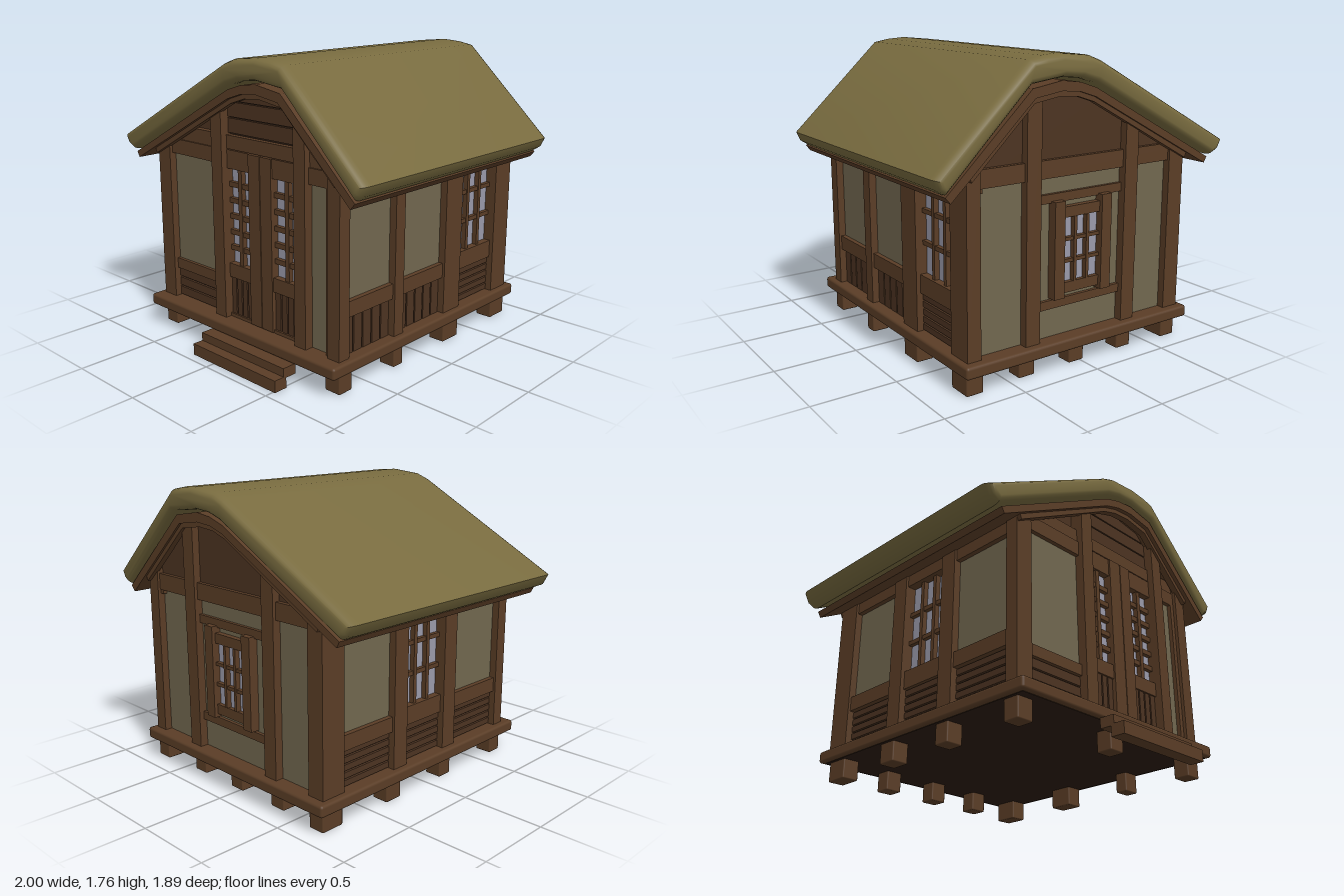
import * as THREE from 'three';
import { RoundedBoxGeometry } from 'three/addons/geometries/RoundedBoxGeometry.js';
import { toCreasedNormals } from 'three/addons/utils/BufferGeometryUtils.js';

const paint = (color) => new THREE.MeshStandardMaterial({ color });
const wood = paint(0x5a3d26), board = paint(0x4c3321), dark = paint(0x2c1d12);
const plaster = paint(0x71674f), glass = paint(0x9a9aaa), thatch = paint(0x786b3f);

// Underside of the roof boarding, from the long eave to the short eave
const under = [[-0.87, 1.065], [-0.01, 1.52], [0.1, 1.555], [0.22, 1.565], [0.39, 1.54], [0.9, 1.065]];

function roofY(x) {
  let i = 1;
  while (i < under.length - 1 && x > under[i][0]) i++;
  const [a, b] = [under[i - 1], under[i]];
  return a[1] + (b[1] - a[1]) * (x - a[0]) / (b[0] - a[0]);
}

function mesh(parent, name, geo, mat) {
  const m = new THREE.Mesh(geo, mat);
  m.name = name;
  parent.add(m);
  return m;
}

// Box given by its limits
function box(parent, name, mat, x0, x1, y0, y1, z0, z1, round = 0) {
  const s = [Math.abs(x1 - x0), Math.abs(y1 - y0), Math.abs(z1 - z0)];
  const geo = round ? new RoundedBoxGeometry(...s, 2, round) : new THREE.BoxGeometry(...s);
  mesh(parent, name, geo, mat).position.set((x0 + x1) / 2, (y0 + y1) / 2, (z0 + z1) / 2);
}

// Outline in x and y, extruded between two z values
function slab(parent, name, mat, points, z0, z1) {
  const shape = new THREE.Shape(points.map((p) => new THREE.Vector2(...p)));
  const geo = new THREE.ExtrudeGeometry(shape, { depth: z1 - z0, bevelEnabled: false });
  geo.translate(0, 0, z0);
  mesh(parent, name, geo, mat);
}

// Upright piece of a gable end whose top follows the roof
function gablePiece(parent, name, mat, x0, x1, y0, y1, z0, z1) {
  const pts = [[x1, y0]];
  for (let i = 12; i >= 0; i--) {
    const x = x0 + (x1 - x0) * i / 12;
    pts.push([x, Math.max(y0 + 0.001, Math.min(y1, roofY(x) + 0.02))]);
  }
  pts.push([x0, y0]);
  slab(parent, name, mat, pts, z0, z1);
}

// Returns a function placing pieces on one wall; recess is the depth behind the wall's face
function wallPlacer(parent, axis, face) {
  const s = Math.sign(face);
  return (name, mat, u0, u1, y0, y1, recess = 0) => {
    const w0 = face - s * recess, w1 = face - s * 0.11;
    if (axis === 'x') box(parent, name, mat, w0, w1, y0, y1, u0, u1);
    else box(parent, name, mat, u0, u1, y0, y1, w0, w1);
  };
}

// Row of boards with dark gaps
function slats(put, u0, u1, y0, y1, n, upright) {
  put('slatBacking', dark, u0, u1, y0, y1, 0.055);
  for (let i = 0; i < n; i++) {
    const a = i / n, b = (i + 1) / n, g = 0.005;
    if (upright) put('slat', board, u0 + (u1 - u0) * a + g, u0 + (u1 - u0) * b - g, y0, y1, 0.04);
    else put('slat', board, u0, u1, y0 + (y1 - y0) * a + g, y0 + (y1 - y0) * b - g, 0.04);
  }
}

// Glass with glazing bars
function glazing(put, u0, u1, y0, y1, cols, rows, bar = 0.026) {
  put('glass', glass, u0, u1, y0, y1, 0.07);
  for (let i = 1; i < cols; i++) {
    const u = u0 + (u1 - u0) * i / cols;
    put('uprightBar', wood, u - bar / 2, u + bar / 2, y0, y1, 0.04);
  }
  for (let i = 1; i < rows; i++) {
    const y = y0 + (y1 - y0) * i / rows;
    put('crossBar', wood, u0, u1, y - bar / 2, y + bar / 2, 0.045);
  }
}

export function createModel() {
  const model = new THREE.Group();
  const group = (name) => {
    const g = new THREE.Group();
    g.name = name;
    model.add(g);
    return g;
  };

  // Base: floor, feet and steps
  const base = group('base');
  box(base, 'floorEdge', wood, -0.77, 0.82, 0.12, 0.19, -0.93, 0.81, 0.016);
  box(base, 'floorUnderside', dark, -0.74, 0.79, 0.117, 0.15, -0.9, 0.78);
  const feet = [[-0.67, 0.68, 0.1], [0.03, 0.68, 0.1], [0.735, 0.68, 0.1], [0.735, 0.23, 0.08], [0.735, -0.28, 0.15],
    [-0.67, 0.16, 0.1], [-0.67, -0.31, 0.12]];
  for (const x of [-0.67, -0.33, 0.03, 0.38, 0.735]) feet.push([x, -0.8, Math.abs(x) > 0.5 ? 0.15 : 0.1]);
  for (const [x, z, d] of feet) box(base, 'foot', wood, x - 0.053, x + 0.053, 0, 0.125, z - d / 2, z + d / 2, 0.008);
  box(base, 'upperStep', wood, -0.18, 0.515, 0.06, 0.12, 0.79, 0.88);
  box(base, 'lowerStep', wood, -0.18, 0.515, 0, 0.07, 0.86, 0.945);

  // Corner posts
  for (const [x0, x1] of [[-0.73, -0.62], [0.7, 0.785]]) {
    gablePiece(base, 'cornerPost', wood, x0, x1, 0.19, 2, 0.65, 0.73);
    gablePiece(base, 'cornerPost', wood, x0, x1, 0.19, 2, -0.88, -0.72);
  }

  // Front wall with double door
  const front = group('frontWall');
  let put = wallPlacer(front, 'z', 0.73);
  put('plaster', plaster, -0.62, -0.21, 0.44, 1.12, 0.045);
  put('sill', wood, -0.62, -0.21, 0.375, 0.44, 0.025);
  slats(put, -0.62, -0.21, 0.19, 0.375, 3, false);
  put('plaster', plaster, 0.545, 0.7, 0.19, 1.12, 0.045);
  put('thinPost', wood, 0.67, 0.7, 0.19, 1.12, 0.02);
  for (const [x0, x1] of [[-0.21, -0.12], [0.46, 0.545]]) gablePiece(front, 'doorPost', wood, x0, x1, 0.19, 2, 0.63, 0.74);
  for (const [x0, x1] of [[-0.64, -0.2], [0.53, 0.72]]) {
    gablePiece(front, 'beam', wood, x0, x1, 1.12, 1.21, 0.63, 0.71);
    gablePiece(front, 'upperBeam', wood, x0, x1, 1.21, 1.295, 0.63, 0.7);
  }
  for (const [u0, u1, c0, c1] of [[-0.12, 0.07, 0.07, 0.163], [0.255, 0.46, 0.168, 0.255]]) {
    put('doorStile', wood, c0, c1, 0.195, 1.21, 0.02);
    put('doorTopRail', wood, u0, u1, 1.1, 1.21, 0.03);
    put('doorMiddleRail', wood, u0, u1, 0.44, 0.525, 0.03);
    glazing(put, u0, u1, 0.525, 1.1, 2, 6, 0.03);
    slats(put, u0, u1, 0.21, 0.44, 4, true);
    put('doorBottomRail', wood, u0, u1, 0.19, 0.21, 0.03);
  }
  put('doorGap', dark, 0.16, 0.17, 0.19, 1.21, 0.03);

  // Back wall with small framed window
  const back = group('backWall');
  put = wallPlacer(back, 'z', -0.88);
  put('plaster', plaster, -0.64, 0.72, 0.19, 1.12, 0.045);
  for (const [x0, x1] of [[-0.365, -0.27], [0.32, 0.415]]) gablePiece(back, 'backPost', wood, x0, x1, 0.19, 2, -0.885, -0.78);
  gablePiece(back, 'beam', wood, -0.7, 0.76, 1.1, 1.2, -0.865, -0.78);
  put('windowBeam', wood, -0.27, 0.32, 0.96, 1.01, 0.025);
  put('lowerBeam', wood, -0.27, 0.32, 0.36, 0.41, 0.025);
  for (const x of [-0.17, 0.16]) put('windowPost', wood, x, x + 0.07, 0.42, 0.97, -0.012);
  put('windowRail', wood, -0.1, 0.16, 0.87, 0.93, 0.01);
  put('windowRail', wood, -0.1, 0.16, 0.44, 0.5, 0.01);
  glazing((n, m, a, b, c, d, r) => put(n, m, a, b, c, d, r - 0.035), -0.1, 0.16, 0.5, 0.87, 3, 3, 0.02);

  // Side walls: bays of [z0, z1, kind] and posts between them
  const sides = [
    { name: 'leftWall', face: 0.785, top: 1.19, posts: [[0.19, 0.27], [-0.36, -0.2]],
      bays: [[0.27, 0.65, 'upright'], [-0.2, 0.19, 'upright'], [-0.72, -0.36, 'window']] },
    { name: 'rightWall', face: -0.73, top: 1.15, posts: [[0.12, 0.23], [-0.32, -0.21]],
      bays: [[0.23, 0.65, 'level'], [-0.21, 0.12, 'window'], [-0.72, -0.32, 'level']] },
  ];
  for (const { name, face, top, posts, bays } of sides) {
    const side = group(name);
    const place = wallPlacer(side, 'x', face);
    for (const [z0, z1] of posts) place('sidePost', wood, z0, z1, 0.19, top, 0);
    place('topPlate', wood, -0.86, 0.7, 1.075, top, 0.015);
    for (const [z0, z1, kind] of bays) {
      if (kind === 'window') {
        glazing(place, z0, z1, 0.525, 1.075, 3, 3);
        place('windowSill', wood, z0, z1, 0.415, 0.525, 0.025);
      } else {
        place('plaster', plaster, z0, z1, 0.505, 1.08, 0.045);
        place('sill', wood, z0, z1, 0.415, 0.505, 0.015);
      }
      slats(place, z0, z1, 0.19, 0.415, 5, kind === 'upright');
    }
  }

  // Gable ends: dark backing, planks between the front posts, beams
  const gables = group('gables');
  gablePiece(gables, 'frontGable', board, -0.68, 0.74, 1.1, 2, 0.63, 0.66);
  gablePiece(gables, 'backGable', board, -0.68, 0.74, 1.1, 2, -0.84, -0.8);
  gablePiece(gables, 'lintel', wood, -0.12, 0.46, 1.215, 1.295, 0.63, 0.7);
  box(gables, 'plankGap', dark, -0.12, 0.46, 1.29, 1.49, 0.64, 0.668);
  for (const y of [1.307, 1.4, 1.492]) gablePiece(gables, 'plank', board, -0.12, 0.46, y, y + 0.085, 0.64, 0.685);

  // Roof boarding and rims under the thatch
  const roof = group('roof');
  const boardTop = [[-0.89, 1.1], [-0.01, 1.57], [0.1, 1.605], [0.22, 1.62], [0.41, 1.59], [0.93, 1.1]];
  slab(roof, 'roofBoarding', wood, [...under, ...[...boardTop].reverse()].reverse(), -0.92, 0.78);
  const rimTop = under.slice(1, -1), rim = [[-0.73, 1.139], ...rimTop, [0.78, 1.177]];
  const rimLow = rim.map(([x, y]) => [0.03 + (x - 0.03) * 0.985, y - 0.028]);
  for (const z of [-0.905, 0.715]) slab(roof, 'gableRim', wood, [...rim, ...rimLow.reverse()], z, z + 0.04), rimLow.reverse();

  // Thatch with rounded ends
  const outline = [[-0.91, 1.11], [0, 1.595], [0.1, 1.625], [0.22, 1.635], [0.42, 1.61], [0.93, 1.11], [0.975, 1.14],
    [1, 1.195], [0.43, 1.735], [0.34, 1.752], [0.23, 1.76], [0.04, 1.742], [-0.04, 1.712], [-1, 1.2], [-0.965, 1.135]];
  const shape = new THREE.Shape(outline.map((p) => new THREE.Vector2(...p)));
  const geo = new THREE.ExtrudeGeometry(shape, {
    depth: 1.63, bevelThickness: 0.06, bevelSize: 0.035, bevelOffset: -0.035, bevelSegments: 4,
  });
  geo.translate(0, 0, -0.89);
  mesh(roof, 'thatch', toCreasedNormals(geo, 0.7), thatch);

  return model;
}
